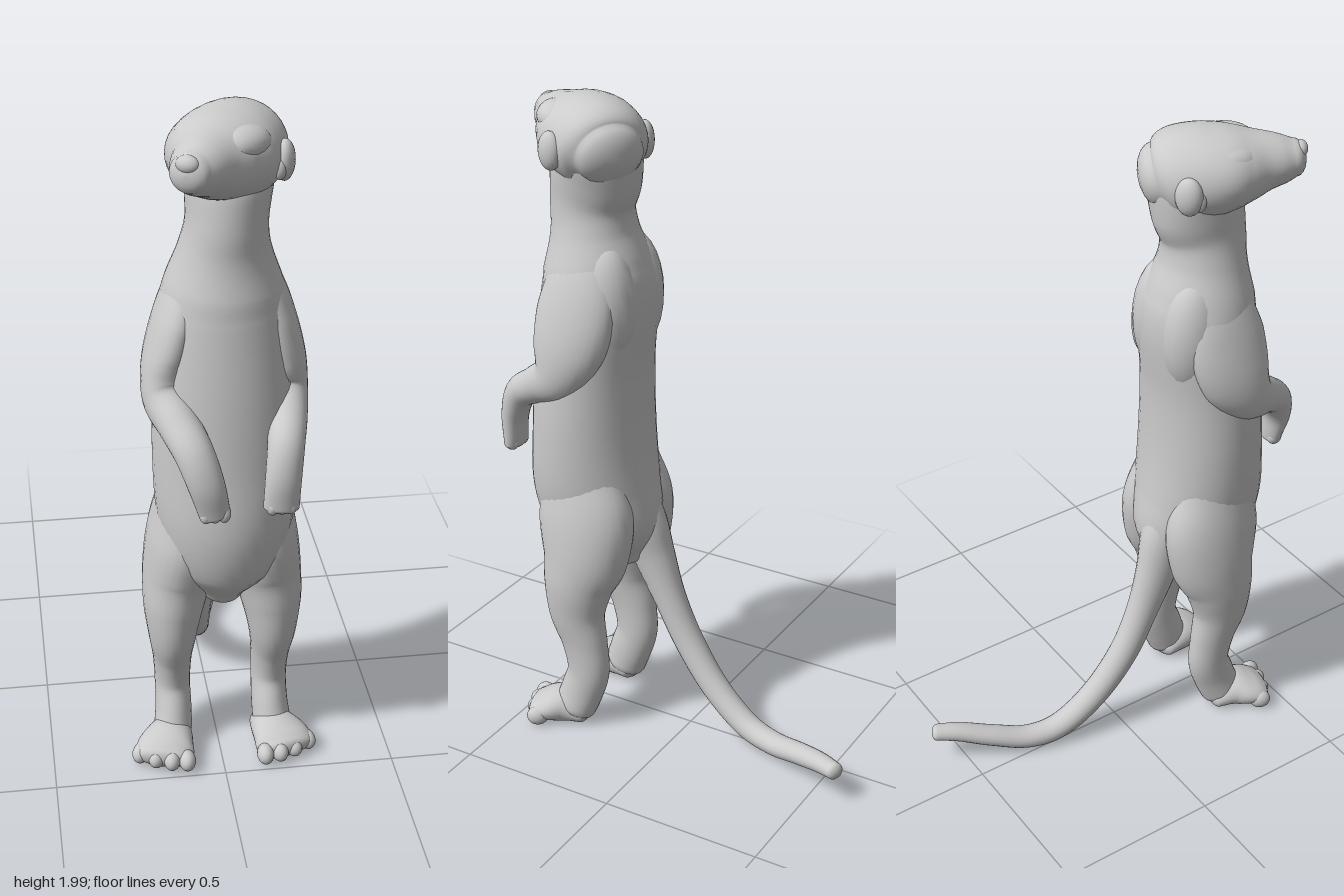
import * as THREE from 'three';

const grey = new THREE.MeshStandardMaterial({ color: 0xcccccc });

// Smooth skin through sections [x, y, z, half-width, half-depth], with domed ends
function sweep(name, sections, { sides = 28, steps = 6, dome = 0.6, floor = -Infinity } = {}) {
  const path = new THREE.CatmullRomCurve3(
    sections.map(s => new THREE.Vector3(s[0], s[1], s[2])), false, 'catmullrom', 0.5);
  const size = new THREE.CatmullRomCurve3(
    sections.map(s => new THREE.Vector3(s[3], s[4], 0)), false, 'catmullrom', 0.5);
  const rings = [];
  const addRing = (t, scale, shift) => {
    const tangent = path.getTangent(t), r = size.getPoint(t);
    const a = new THREE.Vector3(1, 0, 0);
    a.addScaledVector(tangent, -a.dot(tangent)).normalize();
    const b = new THREE.Vector3().crossVectors(tangent, a);
    const reach = Math.min(r.x, r.y) * dome * shift;
    rings.push({ c: path.getPoint(t).addScaledVector(tangent, reach), a, b, rx: r.x * scale, ry: r.y * scale });
  };
  const D = 5, n = (sections.length - 1) * steps;
  for (let k = D; k > 0; k--) {
    const q = k / D * Math.PI / 2;
    addRing(0, Math.max(Math.cos(q), 0.001), -Math.sin(q));
  }
  for (let i = 0; i <= n; i++) addRing(i / n, 1, 0);
  for (let k = 1; k <= D; k++) {
    const q = k / D * Math.PI / 2;
    addRing(1, Math.max(Math.cos(q), 0.001), Math.sin(q));
  }
  const pos = [], index = [];
  rings.forEach(({ c, a, b, rx, ry }, i) => {
    for (let j = 0; j < sides; j++) {
      const q = j / sides * Math.PI * 2;
      const p = c.clone().addScaledVector(a, Math.cos(q) * rx).addScaledVector(b, Math.sin(q) * ry);
      pos.push(p.x, Math.max(p.y, floor), p.z);
      if (i === rings.length - 1) continue;
      const k = (j + 1) % sides, u = i * sides, v = u + sides;
      index.push(u + j, u + k, v + j, u + k, v + k, v + j);
    }
  });
  const g = new THREE.BufferGeometry();
  g.setAttribute('position', new THREE.Float32BufferAttribute(pos, 3));
  g.setIndex(index);
  g.computeVertexNormals();
  const mesh = new THREE.Mesh(g, grey);
  mesh.name = name;
  return mesh;
}

function blob(name, [x, y, z], [rx, ry, rz], yaw = 0) {
  const mesh = new THREE.Mesh(new THREE.SphereGeometry(1, 20, 14), grey);
  mesh.name = name;
  mesh.position.set(x, y, z);
  mesh.scale.set(rx, ry, rz);
  mesh.rotation.y = yaw;
  return mesh;
}

// Head, built facing +z and then turned
function makeHead() {
  const head = new THREE.Group();
  head.name = 'head';
  head.add(sweep('skull', [
    [0, -0.01, -0.085, 0.1, 0.09],
    [0, 0.0, -0.045, 0.135, 0.122],
    [0, 0.005, 0.03, 0.149, 0.13],
    [0.004, 0.014, 0.1, 0.146, 0.118],
    [0.012, 0.02, 0.16, 0.12, 0.1],
    [0.018, 0.026, 0.21, 0.09, 0.083],
    [0.022, 0.03, 0.26, 0.071, 0.067],
    [0.024, 0.034, 0.292, 0.055, 0.053],
  ], { sides: 36 }));
  head.add(blob('nose', [0.024, 0.06, 0.305], [0.032, 0.024, 0.022]));
  for (const s of [-1, 1]) {
    // Low rounded ear with a shallow fold in front of it
    const side = s > 0 ? 'left' : 'right';
    head.add(blob(side + 'Ear', [s * 0.144, -0.005, 0.0], [0.028, 0.056, 0.04], s * 0.35));
    head.add(blob(side + 'EarFold', [s * 0.145, -0.02, 0.03], [0.018, 0.03, 0.018], s * 0.35));
    head.add(blob(side + 'Brow', [0.01 + s * 0.068, 0.062, 0.11], [0.058, 0.047, 0.085], s * -0.35));
  }
  head.position.set(0.045, 1.86, 0.275);
  head.rotation.y = -0.61;
  return head;
}

// Hind leg with a splayed, toed foot; s is +1 for the left
function makeLeg(s) {
  const leg = new THREE.Group();
  leg.name = s > 0 ? 'leftLeg' : 'rightLeg';
  const x = d => 0.014 + s * d;
  const footX = d => 0.007 + s * d;
  leg.add(sweep('thighAndShin', [
    [x(0.085), 0.98, 0.315, 0.07, 0.1],
    [x(0.1), 0.84, 0.305, 0.09, 0.135],
    [x(0.114), 0.72, 0.292, 0.103, 0.158],
    [x(0.128), 0.6, 0.29, 0.103, 0.142],
    [x(0.143), 0.5, 0.308, 0.09, 0.114],
    [x(0.148), 0.4, 0.313, 0.072, 0.094],
    [x(0.147), 0.3, 0.29, 0.058, 0.077],
    [x(0.146), 0.2, 0.278, 0.053, 0.07],
    [x(0.146), 0.12, 0.302, 0.054, 0.07],
    [x(0.15), 0.06, 0.325, 0.057, 0.068],
  ], { floor: 0.002 }));
  leg.add(sweep('foot', [
    [footX(0.146), 0.035, 0.3, 0.054, 0.036],
    [footX(0.158), 0.05, 0.36, 0.07, 0.056],
    [footX(0.175), 0.045, 0.41, 0.086, 0.048],
    [footX(0.183), 0.036, 0.445, 0.084, 0.037],
  ], { floor: 0.002 }));
  for (let i = 0; i < 4; i++) {
    const u = i - 1.5;
    leg.add(blob('toe', [footX(0.183 + u * 0.044), 0.034, 0.455 - Math.abs(u) * 0.01 - u * 0.018],
      [0.025, 0.031, 0.034], s * (0.25 + u * 0.15)));
  }
  return leg;
}

export function createModel() {
  const model = new THREE.Group();
  model.name = 'standingAnimal';

  // Trunk from the crotch up into the head
  model.add(sweep('body', [
    [0.01, 0.56, 0.275, 0.08, 0.12],
    [0.014, 0.66, 0.29, 0.155, 0.182],
    [0.018, 0.8, 0.322, 0.194, 0.194],
    [0.018, 1.0, 0.325, 0.205, 0.178],
    [0.016, 1.2, 0.318, 0.198, 0.17],
    [0.014, 1.4, 0.298, 0.184, 0.169],
    [0.014, 1.5, 0.302, 0.164, 0.157],
    [0.016, 1.6, 0.31, 0.128, 0.13],
    [0.02, 1.68, 0.312, 0.111, 0.128],
    [0.026, 1.76, 0.296, 0.116, 0.138],
    [0.035, 1.84, 0.275, 0.122, 0.126],
    [0.04, 1.9, 0.265, 0.11, 0.11],
  ], { sides: 40 }));

  // Shoulder blades, a soft swelling either side of the spine
  for (const s of [-1, 1])
    model.add(blob('shoulderBlade', [0.014 + s * 0.07, 1.4, 0.235], [0.09, 0.19, 0.1]));

  // Arms hang to the elbow, reach forward and drop at the wrist
  model.add(sweep('leftArm', [
    [0.07, 1.58, 0.3, 0.05, 0.07],
    [0.115, 1.49, 0.295, 0.062, 0.105],
    [0.148, 1.39, 0.295, 0.066, 0.125],
    [0.172, 1.28, 0.31, 0.067, 0.115],
    [0.182, 1.19, 0.345, 0.06, 0.08],
    [0.174, 1.145, 0.42, 0.055, 0.057],
    [0.16, 1.1, 0.49, 0.051, 0.049],
    [0.149, 1.02, 0.524, 0.05, 0.038],
    [0.143, 0.925, 0.53, 0.05, 0.028],
  ]));
  model.add(sweep('rightArm', [
    [-0.04, 1.58, 0.3, 0.05, 0.07],
    [-0.083, 1.49, 0.3, 0.062, 0.105],
    [-0.118, 1.39, 0.305, 0.066, 0.125],
    [-0.146, 1.28, 0.322, 0.067, 0.113],
    [-0.154, 1.2, 0.37, 0.062, 0.08],
    [-0.126, 1.155, 0.45, 0.058, 0.057],
    [-0.093, 1.1, 0.518, 0.054, 0.049],
    [-0.065, 1.02, 0.552, 0.05, 0.037],
    [-0.042, 0.928, 0.55, 0.043, 0.028],
  ]));

  // Knuckles of the folded paws
  for (const [hx, hz] of [[0.143, 0.53], [-0.042, 0.55]])
    for (const u of [-1, 0, 1])
      model.add(blob('finger', [hx + u * 0.025, 0.93, hz], [0.019, 0.027, 0.025]));

  for (const s of [-1, 1]) model.add(makeLeg(s));

  // Tail trails back along the ground and lifts at the tip
  model.add(sweep('tail', [
    [0.0, 0.8, 0.225, 0.06, 0.07],
    [-0.012, 0.68, 0.18, 0.066, 0.078],
    [-0.022, 0.56, 0.145, 0.056, 0.07],
    [-0.025, 0.42, 0.09, 0.047, 0.053],
    [-0.025, 0.28, 0.02, 0.045, 0.047],
    [-0.015, 0.15, -0.08, 0.043, 0.043],
    [0.002, 0.06, -0.2, 0.041, 0.039],
    [0.028, 0.042, -0.31, 0.039, 0.035],
    [0.073, 0.07, -0.42, 0.037, 0.032],
    [0.118, 0.097, -0.51, 0.033, 0.029],
    [0.148, 0.106, -0.575, 0.028, 0.025],
  ], { sides: 20, floor: 0.002 }));

  model.add(makeHead());
  return model;
}
